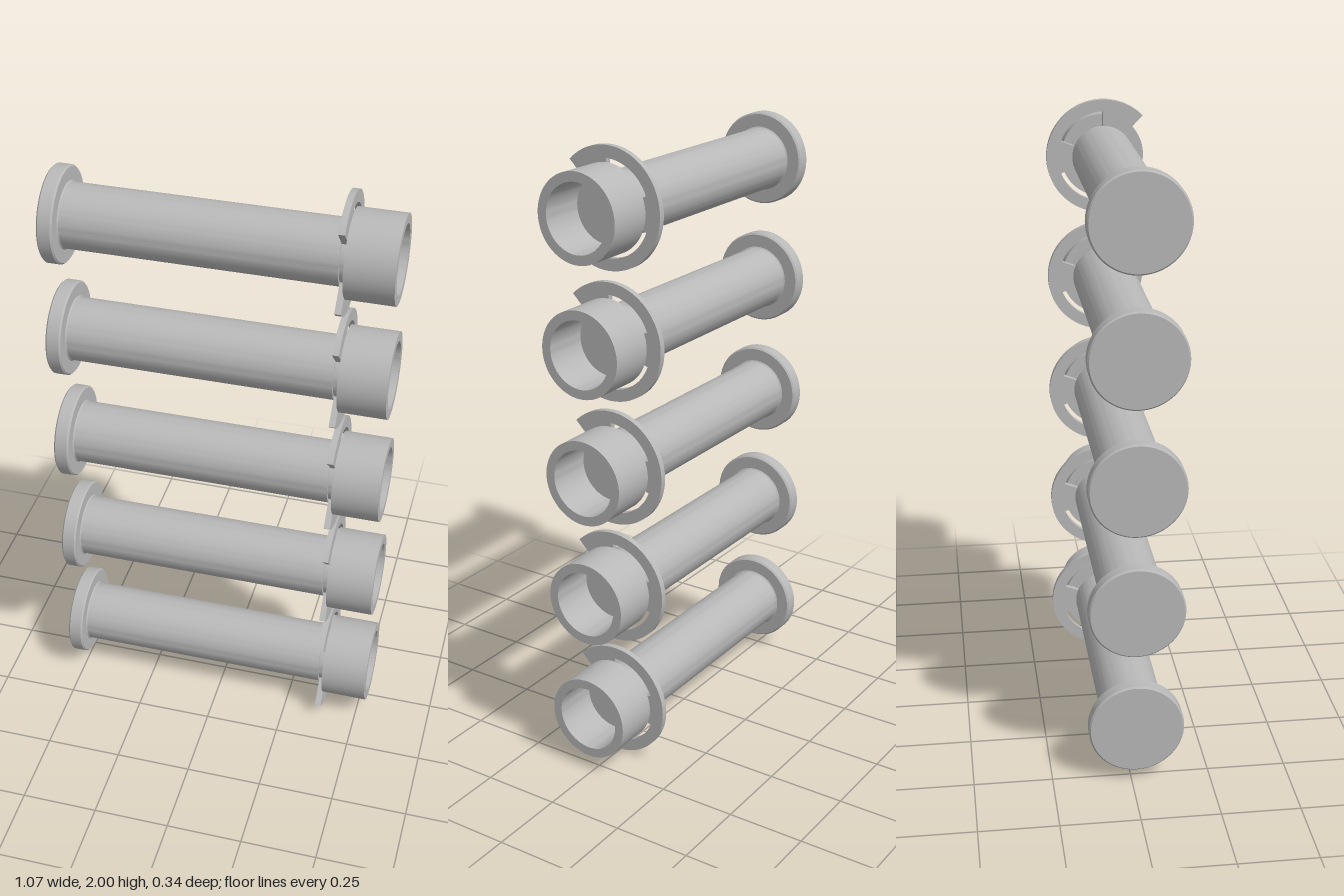
import * as THREE from 'three';
import { toCreasedNormals } from 'three/addons/utils/BufferGeometryUtils.js';

const CLIP_R = 0.186, GROOVE_R = 0.09;
const COUNT = 5, SPACING = (2 - 2 * CLIP_R) / (COUNT - 1);

// Turned part along x from [x, radius] points
function turned(points) {
  const geo = new THREE.LatheGeometry(points.map(([x, r]) => new THREE.Vector2(r, x)), 72);
  geo.rotateZ(-Math.PI / 2);
  return toCreasedNormals(geo, 0.5);
}

// Retaining clip: open ring with three prongs reaching into the groove
function clipGeometry() {
  const d = Math.PI / 180, slotR = 0.148;
  const s = new THREE.Shape();
  s.absarc(0, 0, CLIP_R, -135 * d, 135 * d, false);
  const inner = [[GROOVE_R, 135, 90], [slotR, 90, 21], [GROOVE_R, 21, -21], [slotR, -21, -90], [GROOVE_R, -90, -135]];
  for (const [r, a, b] of inner) s.absarc(0, 0, r, a * d, b * d, true);
  s.closePath();
  const geo = new THREE.ExtrudeGeometry(s, { depth: 0.02, bevelEnabled: false, curveSegments: 32 });
  geo.rotateY(Math.PI / 2);
  geo.translate(0.363, 0, 0);
  return toCreasedNormals(geo, 0.5);
}

export function createModel() {
  const model = new THREE.Group();
  model.name = 'clevisPins';
  const steel = new THREE.MeshStandardMaterial({ color: 0xb8b8b8 });
  steel.name = 'greySteel';

  const parts = {
    // Head with softened rims
    head: turned([[-0.534, 0], [-0.534, 0.146], [-0.529, 0.151], [-0.49, 0.151], [-0.485, 0.146], [-0.485, 0.09]]),
    // Shaft with a small fillet at the head and a reduced groove at the end
    shaft: turned([[-0.487, 0.107], [-0.481, 0.101], [0.363, 0.101], [0.363, GROOVE_R], [0.384, GROOVE_R], [0.384, 0]]),
    clip: clipGeometry(),
    // Hollow end collar
    collar: turned([[0.383, 0.106], [0.383, 0.136], [0.534, 0.136], [0.534, 0.106], [0.383, 0.106]]),
    // Floor closing the collar bore
    collarFloor: turned([[0.38, 0], [0.38, 0.107], [0.385, 0.107], [0.385, 0]]),
  };

  for (let i = 0; i < COUNT; i++) {
    const pin = new THREE.Group();
    pin.name = `pin${i + 1}`;
    for (const [name, geo] of Object.entries(parts)) {
      const mesh = new THREE.Mesh(geo, steel);
      mesh.name = name;
      pin.add(mesh);
    }
    pin.position.set(0, CLIP_R + i * SPACING, 0.016);
    model.add(pin);
  }
  return model;
}
